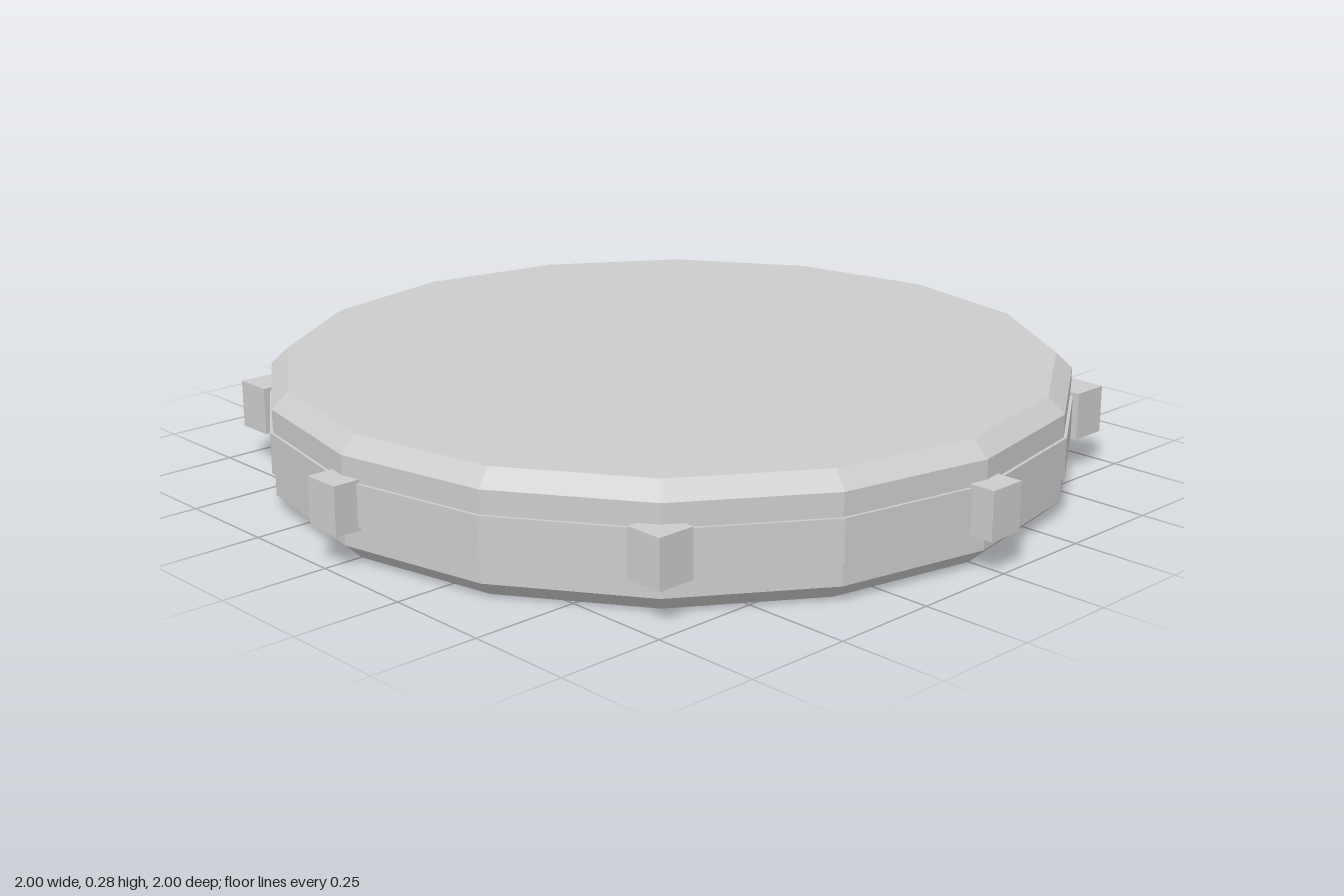
import * as THREE from 'three';

const SIDES = 16;
const HEIGHT = 0.275;
const BAND_RADIUS = 0.953;
const BAND_BOTTOM = 0.09;

export function createModel() {
  const model = new THREE.Group();
  model.name = 'studdedDisc';

  const grey = new THREE.MeshStandardMaterial({ color: 0xcccccc, flatShading: true, side: THREE.DoubleSide });
  grey.name = 'grey';

  const addMesh = (name, geometry, parent = model) => {
    const mesh = new THREE.Mesh(geometry, grey);
    mesh.name = name;
    parent.add(mesh);
    return mesh;
  };

  // Shell: flat top, chamfered rims and a slightly raised band, open underneath
  const profile = [
    [0.907, 0], [0.946, 0.037], [0.946, BAND_BOTTOM],
    [BAND_RADIUS, BAND_BOTTOM], [BAND_RADIUS, HEIGHT - BAND_BOTTOM],
    [0.946, HEIGHT - BAND_BOTTOM], [0.946, HEIGHT - 0.037], [0.907, HEIGHT], [0, HEIGHT],
  ].map(([r, y]) => new THREE.Vector2(r, y));
  addMesh('shell', new THREE.LatheGeometry(profile, SIDES));

  // Recessed underside, level with the bottom of the band
  const underside = addMesh('underside', new THREE.CircleGeometry(0.946, SIDES));
  underside.rotation.x = Math.PI / 2;
  underside.position.y = BAND_BOTTOM;

  // Eight axis-aligned studs around the band
  const studs = new THREE.Group();
  studs.name = 'studs';
  model.add(studs);
  const studGeometry = new THREE.BoxGeometry(0.092, 0.112, 0.092);
  for (let i = 0; i < 8; i++) {
    const angle = (i * Math.PI) / 4;
    const stud = addMesh('stud', studGeometry, studs);
    stud.position.set(0.954 * Math.sin(angle), HEIGHT / 2, 0.954 * Math.cos(angle));
  }

  return model;
}
